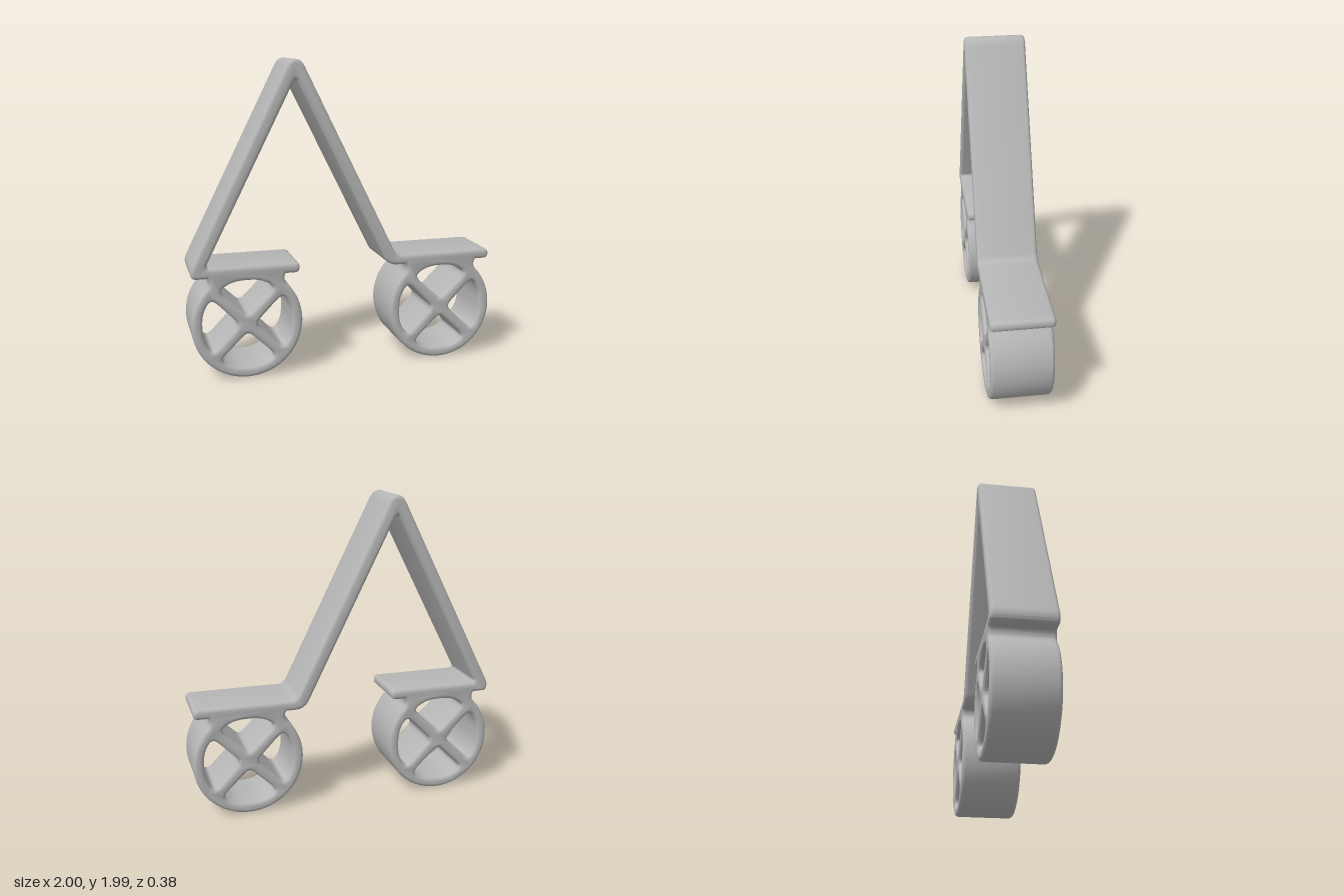
import * as THREE from 'three';
import { toCreasedNormals } from 'three/addons/utils/BufferGeometryUtils.js';

const DEPTH = 0.385;
const BEVEL = 0.022;

// Trace a closed polygon of [x, y, cornerRadius] with rounded corners
function rounded(path, pts) {
  const n = pts.length;
  pts.forEach(([x, y, r], i) => {
    const c = new THREE.Vector2(x, y);
    const towards = (p) => {
      const d = new THREE.Vector2(p[0], p[1]).sub(c);
      return d.setLength(Math.min(r, d.length() * 0.45)).add(c);
    };
    const a = towards(pts[(i + n - 1) % n]);
    const b = towards(pts[(i + 1) % n]);
    if (i === 0) path.moveTo(a.x, a.y);
    else path.lineTo(a.x, a.y);
    path.quadraticCurveTo(x, y, b.x, b.y);
  });
  path.closePath();
  return path;
}

// Extrude a profile through the full depth with softened edges
function slab(shape, material, name) {
  const geo = new THREE.ExtrudeGeometry(shape, {
    depth: DEPTH - 2 * BEVEL, curveSegments: 5,
    bevelEnabled: true, bevelThickness: BEVEL, bevelSize: BEVEL,
    bevelOffset: -BEVEL, bevelSegments: 3,
  });
  geo.translate(0, 0, -DEPTH / 2 + BEVEL);
  const mesh = new THREE.Mesh(toCreasedNormals(geo, 0.7), material);
  mesh.name = name;
  return mesh;
}

// Wheel profile: round rim, flared neck under the platform, four openings
function wheelShape() {
  const outline = [];
  const R = 0.353;
  const start = THREE.MathUtils.degToRad(132);
  const end = THREE.MathUtils.degToRad(408);
  for (let i = 0; i <= 28; i++) {
    const a = start + (end - start) * (i / 28);
    outline.push([R * Math.cos(a), R * Math.sin(a), 0.03]);
  }
  outline.push([0.24, 0.305, 0.02], [0.27, 0.33, 0.02], [0.27, 0.355, 0.01]);
  outline.push([-0.27, 0.355, 0.01], [-0.27, 0.33, 0.02], [-0.24, 0.305, 0.02]);
  const shape = rounded(new THREE.Shape(), outline);

  const opening = [
    [0.05, 0, 0.04], [0.215, 0.17, 0.05], [0.25, 0.15, 0.04], [0.285, 0.07, 0.06],
    [0.285, -0.07, 0.06], [0.25, -0.15, 0.04], [0.215, -0.17, 0.05],
  ];
  for (let k = 0; k < 4; k++) {
    const c = Math.round(Math.cos(k * Math.PI / 2));
    const s = Math.round(Math.sin(k * Math.PI / 2));
    const pts = opening.map(([x, y, r]) => [x * c - y * s, x * s + y * c, r]);
    shape.holes.push(rounded(new THREE.Path(), pts));
  }
  return shape;
}

export function createModel() {
  const model = new THREE.Group();
  model.name = 'wheeledFrame';
  const grey = new THREE.MeshStandardMaterial({ color: 0xb6b6b6 });
  grey.name = 'plain grey';

  // Peaked frame with a flat platform at the foot of each leg
  const frame = rounded(new THREE.Shape(), [
    [-0.31, 0.73, 0.035], [-0.905, 0.73, 0.03], [-0.325, 1.88, 0.03],
    [0.262, 0.695, 0.03], [0.31, 0.664, 0.03], [0.985, 0.664, 0.035],
    [0.985, 0.73, 0.035], [0.335, 0.73, 0.04],
    [-0.288, 1.99, 0.05], [-0.362, 1.99, 0.05],
    [-0.997, 0.72, 0.03], [-0.99, 0.664, 0.03], [-0.31, 0.664, 0.035],
  ]);
  model.add(slab(frame, grey, 'frame'));

  // Wheels beneath the platforms
  const shape = wheelShape();
  [['rightWheel', -0.648], ['leftWheel', 0.646]].forEach(([name, x]) => {
    const wheel = slab(shape, grey, name);
    wheel.position.set(x, 0.353, 0);
    model.add(wheel);
  });

  return model;
}
